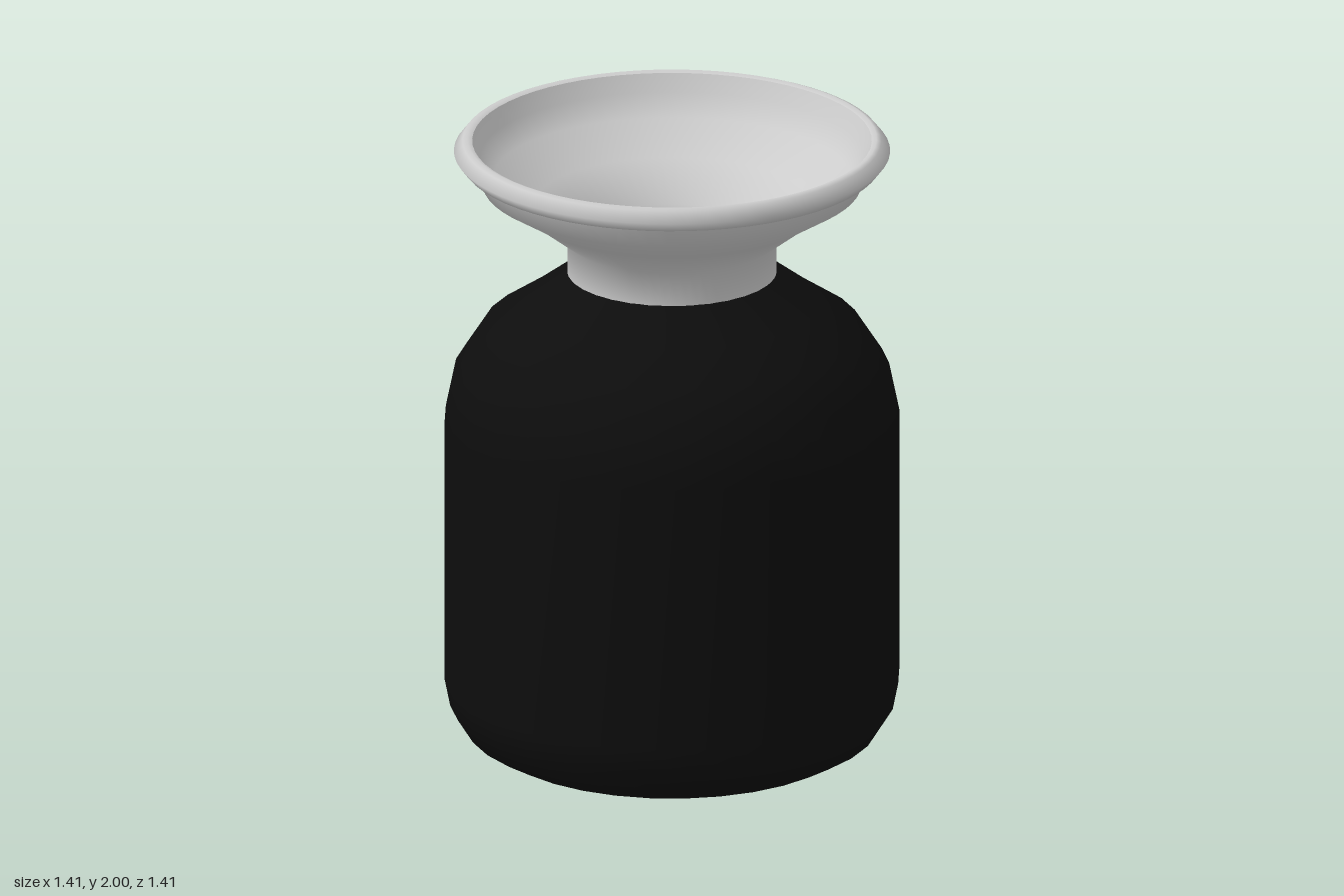
import * as THREE from 'three';

const grey = new THREE.MeshStandardMaterial({ color: 0xcccccc, side: THREE.DoubleSide });
const black = new THREE.MeshStandardMaterial({ color: 0x0d0d0d });

// Smooth turned part from [radius, height] pairs
function turned(name, profile, segments, material) {
  const points = profile.map(([r, y]) => new THREE.Vector2(r, y));
  const mesh = new THREE.Mesh(new THREE.LatheGeometry(points, segments), material);
  mesh.name = name;
  return mesh;
}

export function createModel() {
  const model = new THREE.Group();
  model.name = 'vessel';

  // Dark body with rounded foot and shoulders
  model.add(turned('body', [
    [0, 0], [0.47, 0.002], [0.56, 0.025], [0.64, 0.07], [0.69, 0.15], [0.707, 0.235],
    [0.707, 1.09], [0.675, 1.245], [0.588, 1.38], [0.46, 1.465], [0.325, 1.565],
  ], 32, black));

  // Neck flaring into the outside of the funnel
  model.add(turned('neck', [
    [0.325, 1.555], [0.325, 1.67], [0.455, 1.77], [0.588, 1.852], [0.617, 1.93],
  ], 64, grey));

  // Rolled lip
  model.add(turned('rim', [
    [0.612, 1.928], [0.652, 1.928], [0.677, 1.96], [0.65, 1.994], [0.635, 2], [0.62, 1.994],
  ], 64, grey));

  // Inside of the funnel
  model.add(turned('funnel', [
    [0.62, 1.994], [0.595, 1.94], [0.555, 1.87], [0.425, 1.785], [0.29, 1.68], [0.288, 1.58],
  ], 64, grey));

  // Flat floor inside the neck
  const floor = new THREE.Mesh(new THREE.CircleGeometry(0.288, 64), grey);
  floor.name = 'neckFloor';
  floor.rotation.x = -Math.PI / 2;
  floor.position.y = 1.58;
  model.add(floor);

  return model;
}
